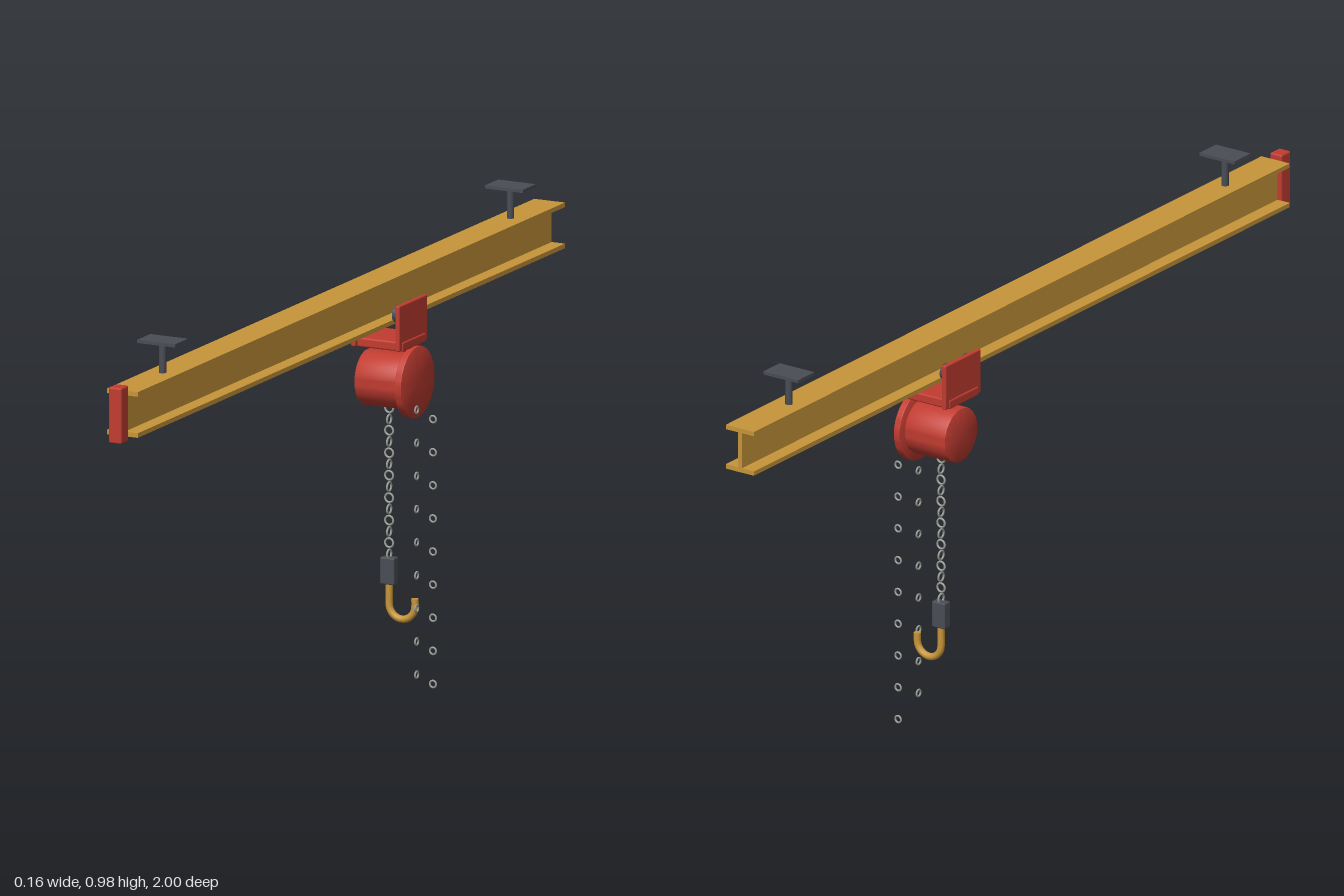
import * as THREE from 'three';
import { toCreasedNormals } from 'three/addons/utils/BufferGeometryUtils.js';
import { RoundedBoxGeometry } from 'three/addons/geometries/RoundedBoxGeometry.js';

export function createModel() {
  const model = new THREE.Group();
  model.name = 'chainHoist';
  const material = (name, color) => {
    const m = new THREE.MeshStandardMaterial({ color });
    m.name = name;
    return m;
  };
  const gold = material('goldPaint', 0xc8963a);
  const red = material('redPaint', 0xc23c31);
  const dark = material('darkSteel', 0x4a4d55);
  const steel = material('chainSteel', 0x9a9f98);

  const CX = -0.018, CZ = -0.262; // beam centre line and trolley position
  const add = (name, geometry, mat, x, y, z, parent = model) => {
    const mesh = new THREE.Mesh(geometry, mat);
    mesh.name = name;
    mesh.position.set(x, y, z);
    parent.add(mesh);
    return mesh;
  };
  const group = (name) => {
    const g = new THREE.Group();
    g.name = name;
    model.add(g);
    return g;
  };

  // I-beam rail, extruded along z
  const f = 0.037, h = 0.05, t = 0.01, w = 0.005;
  const section = new THREE.Shape([
    [-f, -h], [f, -h], [f, -h + t], [w, -h + t], [w, h - t], [f, h - t],
    [f, h], [-f, h], [-f, h - t], [-w, h - t], [-w, -h + t], [-f, -h + t],
  ].map(([x, y]) => new THREE.Vector2(x, y)));
  add('railBeam', new THREE.ExtrudeGeometry(section, { depth: 1.965, bevelEnabled: false }),
    gold, CX, 0.862, -1);
  add('endStop', new RoundedBoxGeometry(0.031, 0.123, 0.035, 2, 0.004), red, CX, 0.8635, 0.9825);

  // Ceiling hangers
  for (const z of [0.78, -0.82]) {
    const hanger = group('ceilingHanger');
    add('hangerPlate', new THREE.BoxGeometry(0.091, 0.007, 0.06), dark, CX, 0.9815, z, hanger);
    add('hangerRod', new THREE.CylinderGeometry(0.008, 0.008, 0.07, 20), dark, CX, 0.945, z, hanger);
  }

  // Trolley: side plates, wheels on the lower flange, cross bar
  const trolley = group('trolley');
  for (const side of [-1, 1]) {
    add('sidePlate', new RoundedBoxGeometry(0.011, 0.1, 0.13, 2, 0.003), red,
      CX + side * 0.053, 0.806, CZ, trolley);
    for (const dz of [-0.036, 0.036]) {
      add('trolleyWheel', new THREE.CylinderGeometry(0.0185, 0.0185, 0.013, 24), dark,
        CX + side * 0.0415, 0.8315, CZ + dz, trolley).rotation.z = Math.PI / 2;
    }
  }
  add('crossBar', new RoundedBoxGeometry(0.122, 0.021, 0.108, 2, 0.004), red, CX, 0.7645, CZ, trolley);

  // Hoist body: rounded drum and a wide wheel cover, both turned about x
  const drum = (name, radius, length, bevel, x) => {
    const e = length / 2;
    const profile = [
      [0, -e], [radius - bevel, -e], [radius - bevel * 0.3, -e + bevel * 0.3], [radius, -e + bevel],
      [radius, e - bevel], [radius - bevel * 0.3, e - bevel * 0.3], [radius - bevel, e], [0, e],
    ].map(([r, y]) => new THREE.Vector2(r, y));
    const geometry = toCreasedNormals(new THREE.LatheGeometry(profile, 48), 0.6);
    add(name, geometry, red, x, 0.678, CZ).rotation.z = -Math.PI / 2;
  };
  drum('hoistDrum', 0.061, 0.108, 0.005, CX);
  drum('handWheelCover', 0.078, 0.016, 0.002, 0.043);

  // Load chain: links alternate by a quarter turn
  const loadChain = group('loadChain');
  const loadLink = new THREE.TorusGeometry(0.0098, 0.0024, 8, 20);
  for (let i = 0; i < 14; i++) {
    add('loadLink', loadLink, steel, CX, 0.614 - i * 0.0246, CZ, loadChain)
      .rotation.y = (i % 2) * Math.PI / 2;
  }

  // Hook block and hook
  add('hookBlock', new RoundedBoxGeometry(0.034, 0.059, 0.022, 2, 0.003), dark, CX, 0.2585, CZ);
  const R = 0.031, hookY = 0.186;
  const points = [new THREE.Vector3(0, 0.235, 0), new THREE.Vector3(0, 0.21, 0)];
  for (let i = 0; i <= 10; i++) {
    const a = Math.PI * (1 + i / 10);
    points.push(new THREE.Vector3(R + R * Math.cos(a), hookY + R * Math.sin(a), 0));
  }
  points.push(new THREE.Vector3(2 * R, 0.203, 0));
  const hook = group('hook');
  add('hookBend', new THREE.TubeGeometry(new THREE.CatmullRomCurve3(points), 48, 0.008, 12),
    gold, CX, 0, CZ, hook);
  add('hookTip', new THREE.CircleGeometry(0.008, 12), gold, CX + 2 * R, 0.203, CZ, hook)
    .rotation.x = -Math.PI / 2;

  // Hand chain: two strands of spaced links
  const handChain = group('handChain');
  const handLink = new THREE.TorusGeometry(0.0075, 0.0022, 8, 18);
  for (let i = 0; i < 9; i++) {
    const y = 0.011 + i * 0.0725;
    add('backLink', handLink, steel, 0.068, y, CZ - 0.037, handChain);
    add('frontLink', handLink, steel, 0.068, y + 0.0363, CZ + 0.038, handChain).rotation.y = Math.PI / 2;
  }
  return model;
}
